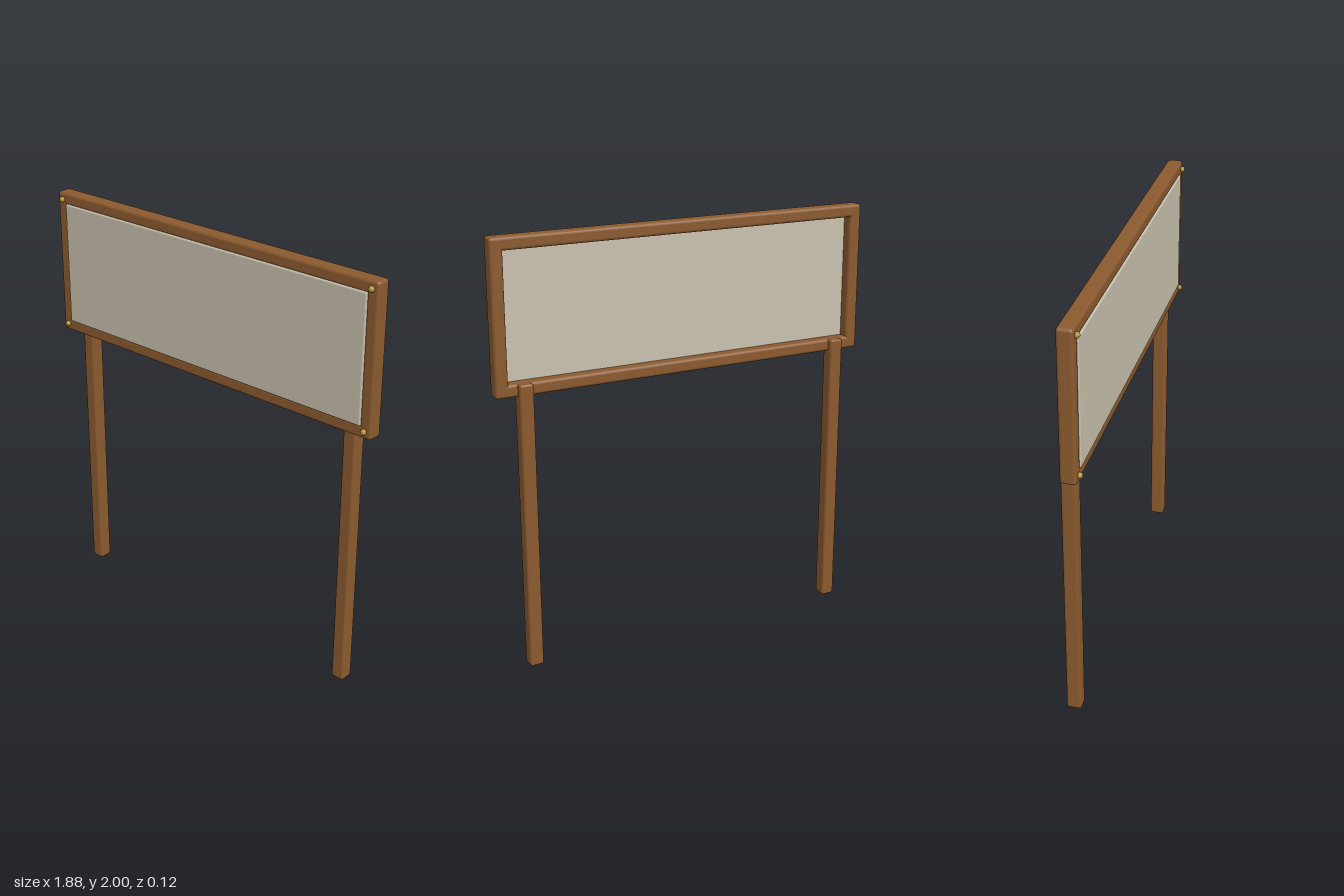
import * as THREE from 'three';
import { RoundedBoxGeometry } from 'three/addons/geometries/RoundedBoxGeometry.js';

export function createModel() {
  const model = new THREE.Group();
  model.name = 'signboard';

  const material = (name, color) => {
    const m = new THREE.MeshStandardMaterial({ color });
    m.name = name;
    return m;
  };
  const wood = material('brown wood', 0x8b5a2f);
  const cream = material('cream board', 0xc9c1ae);
  const brass = material('brass', 0xb08d2c);

  // Softly rounded block given by its size and centre
  const block = (name, mat, [w, h, d], [x, y, z], radius) => {
    const mesh = new THREE.Mesh(new RoundedBoxGeometry(w, h, d, 3, radius), mat);
    mesh.name = name;
    mesh.position.set(x, y, z);
    model.add(mesh);
  };

  // Board, set toward the front of the frame and recessed at the back
  block('board', cream, [1.77, 0.596, 0.028], [0, 1.648, 0.033], 0.008);

  // Top and bottom rails
  block('topRail', wood, [1.88, 0.06, 0.073], [0, 1.97, 0.005], 0.015);
  block('bottomRail', wood, [1.88, 0.06, 0.073], [0, 1.326, 0.005], 0.015);

  for (const side of [1, -1]) {
    const label = side > 0 ? 'left' : 'right';

    // Frame stile and standing post
    block(label + 'Stile', wood, [0.06, 0.704, 0.073], [side * 0.91, 1.648, 0.005], 0.015);
    block(label + 'Post', wood, [0.066, 1.356, 0.069], [side * 0.807, 0.678, -0.0255], 0.012);

    // Domed brass studs at the frame corners
    for (const y of [1.965, 1.331]) {
      const stud = new THREE.Mesh(new THREE.SphereGeometry(0.014, 20, 14), brass);
      stud.name = label + (y > 1.6 ? 'Top' : 'Bottom') + 'Stud';
      stud.position.set(side * 0.906, y, 0.046);
      model.add(stud);
    }
  }
  return model;
}
